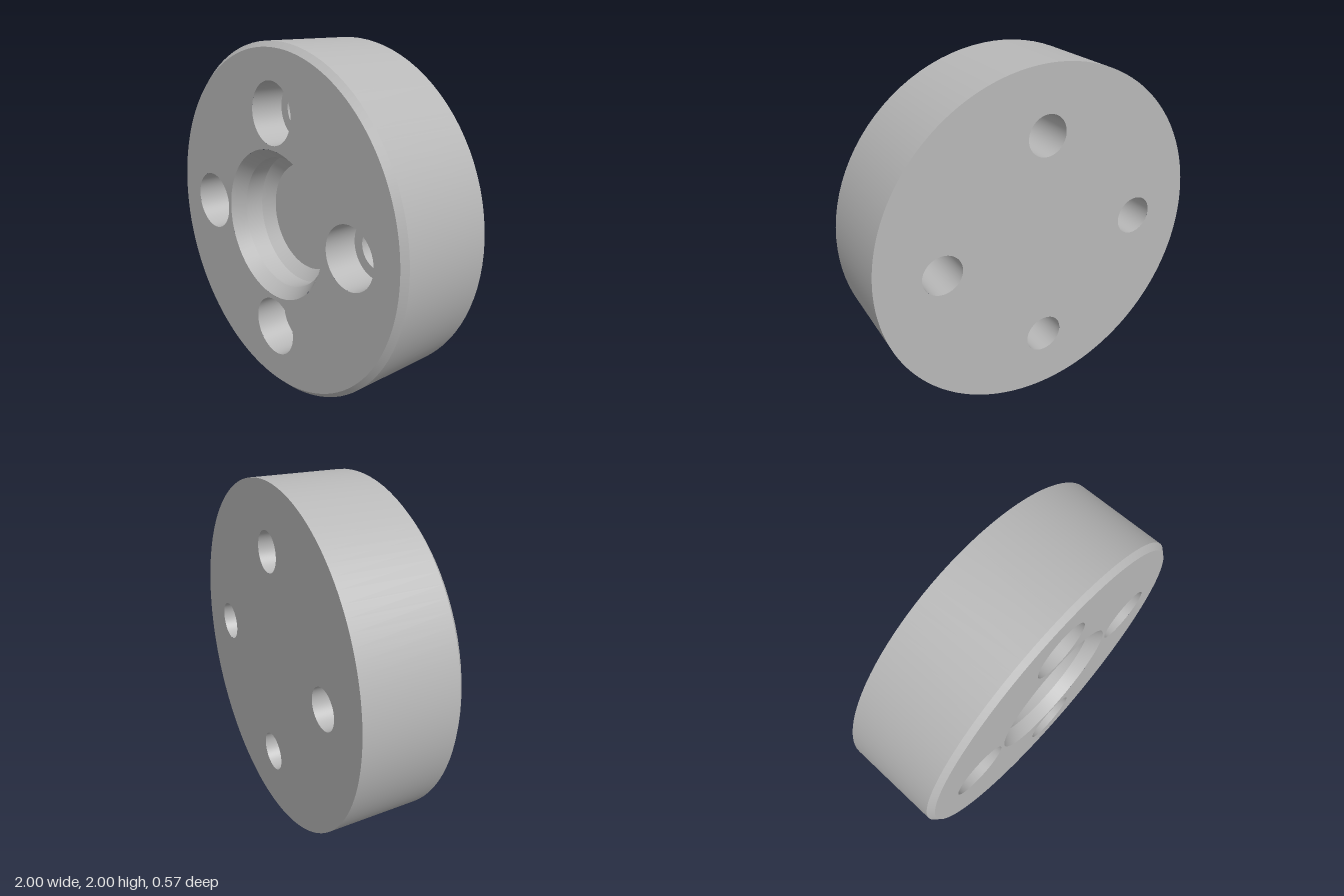
import * as THREE from 'three';
import { mergeGeometries } from 'three/addons/utils/BufferGeometryUtils.js';

const H = 0.286;          // half thickness
const SEG = 96;
const BOLT_CIRCLE = 0.628;
const BORE = 0.115, COUNTERBORE = 0.173, COUNTERBORE_FLOOR = H - 0.2;

// Turned surface about z; each [radius, z] segment keeps its own sharp edges
function turned(profile, segments = SEG) {
  const bands = [];
  for (let i = 0; i < profile.length - 1; i++) {
    const pair = [profile[i], profile[i + 1]].map(([r, z]) => new THREE.Vector2(r, z));
    bands.push(new THREE.LatheGeometry(pair, segments).rotateX(Math.PI / 2));
  }
  return mergeGeometries(bands);
}

// Flat disc with round holes given as [x, y, radius]
function piercedDisc(radius, holes) {
  const shape = new THREE.Shape().absarc(0, 0, radius, 0, Math.PI * 2, false);
  for (const [x, y, r] of holes) {
    shape.holes.push(new THREE.Path().absarc(x, y, r, 0, Math.PI * 2, true));
  }
  return new THREE.ShapeGeometry(shape, SEG);
}

export function createModel() {
  const model = new THREE.Group();
  model.name = 'flangeDisc';
  const steel = new THREE.MeshStandardMaterial({ color: 0xb8b8b8 });
  steel.name = 'grey steel';

  const add = (name, geometry, x = 0, y = 0) => {
    const mesh = new THREE.Mesh(geometry, steel);
    mesh.name = name;
    mesh.position.set(x, y + 1, 0);
    model.add(mesh);
  };

  const centres = [0, 1, 2, 3].map((i) => {
    const a = (i * Math.PI) / 2;
    return [BOLT_CIRCLE * Math.cos(a), BOLT_CIRCLE * Math.sin(a)];
  });

  // Outer rim with a chamfered front edge
  add('rim', turned([[1, -H], [1, H - 0.03], [0.97, H]]));

  // Front and back faces
  const frontHoles = centres.map(([x, y]) => [x, y, COUNTERBORE]);
  add('frontFace', piercedDisc(0.97, [...frontHoles, [0, 0, 0.43]]).translate(0, 0, H));
  const backHoles = centres.map(([x, y]) => [x, y, BORE]);
  add('backFace', piercedDisc(1, backHoles).rotateY(Math.PI).translate(0, 0, -H));

  // Blind centre pocket: chamfer, straight wall, tapered foot, floor
  add('centrePocket', turned([
    [0.43, H], [0.375, H - 0.075], [0.375, H - 0.19], [0.315, H - 0.25], [0, H - 0.25],
  ]));

  // Four counterbored through holes
  const boltHole = turned([
    [COUNTERBORE, H], [COUNTERBORE, COUNTERBORE_FLOOR], [BORE, COUNTERBORE_FLOOR], [BORE, -H],
  ]);
  centres.forEach(([x, y], i) => add(`boltHole${i + 1}`, boltHole, x, y));

  return model;
}
